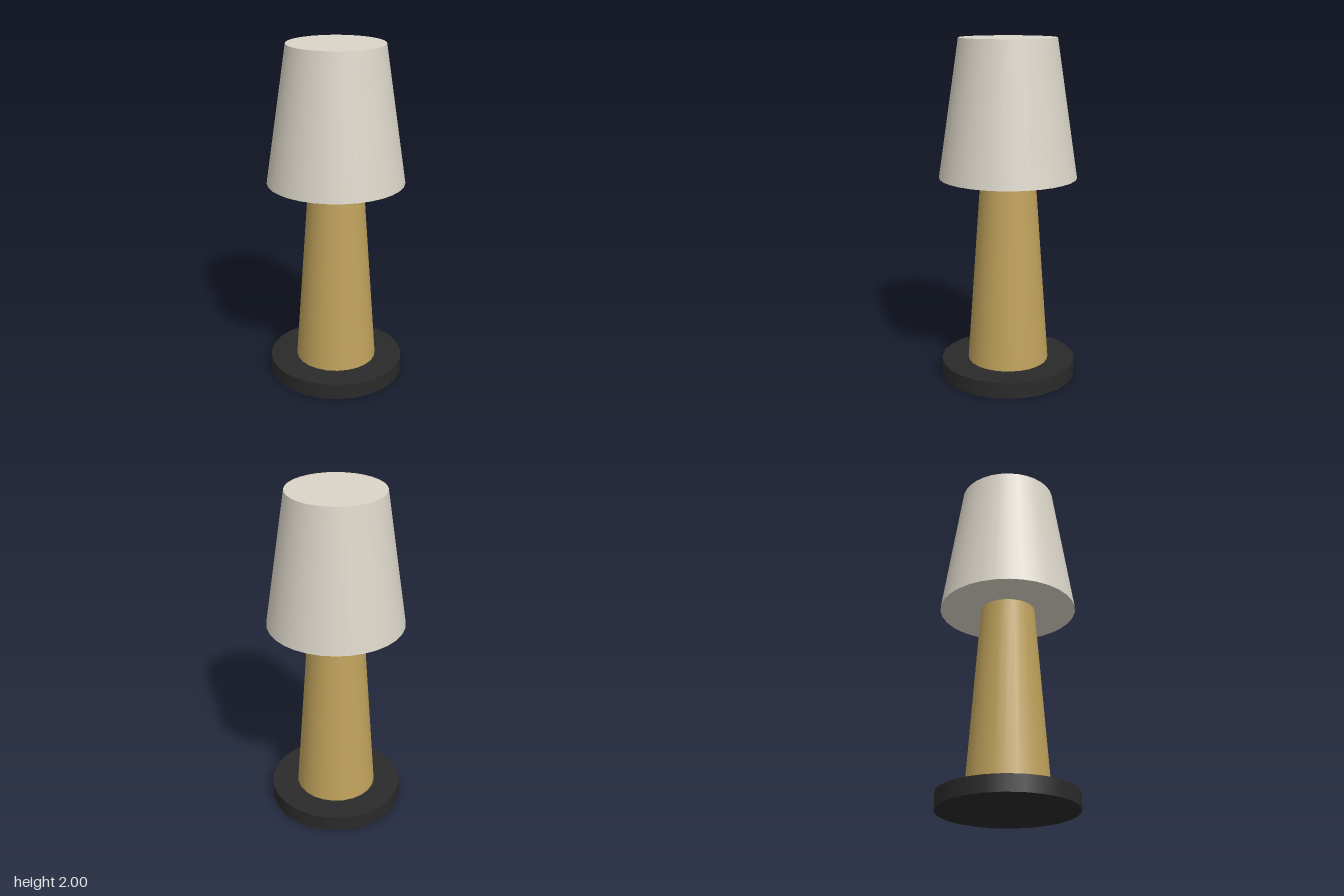
import * as THREE from 'three';

const paint = (name, color) => {
  const m = new THREE.MeshStandardMaterial({ color });
  m.name = name;
  return m;
};

export function createModel() {
  const group = new THREE.Group();
  group.name = 'tableLamp';

  // Upright tapered cylinder standing between two heights
  const taper = (name, material, rBottom, rTop, y0, y1, sides) => {
    const mesh = new THREE.Mesh(new THREE.CylinderGeometry(rTop, rBottom, y1 - y0, sides), material);
    mesh.position.y = (y0 + y1) / 2;
    mesh.name = name;
    group.add(mesh);
  };

  // Round foot, tapered column and closed shade
  taper('base', paint('charcoal', 0x2a2a2a), 0.4, 0.4, 0, 0.095, 24);
  taper('column', paint('brass', 0xc0a25c), 0.24, 0.16, 0.095, 1.205, 24);
  taper('shade', paint('linen', 0xdbd5c8), 0.4, 0.28, 1.205, 2, 32);

  return group;
}
